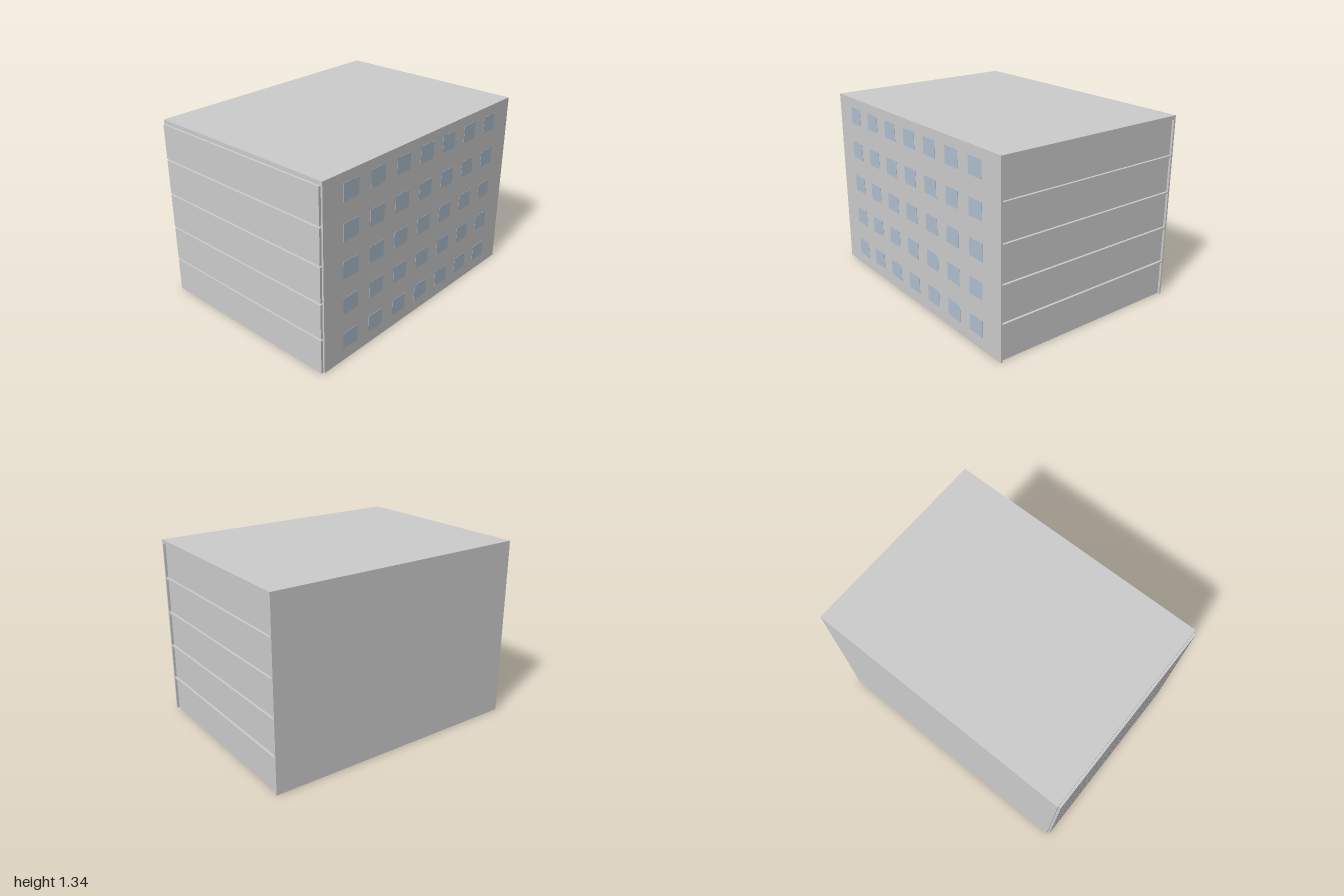
import * as THREE from 'three';

export function createModel() {
  const concrete = new THREE.MeshStandardMaterial({ color: 0xcccccc });
  concrete.name = 'concrete';
  const glass = new THREE.MeshStandardMaterial({ color: 0xb0c0d0 });
  glass.name = 'glass';

  const building = new THREE.Group();
  building.name = 'building';

  // Box given by its limits on each axis
  function block(name, [x0, x1], [y0, y1], [z0, z1], material = concrete) {
    const mesh = new THREE.Mesh(new THREE.BoxGeometry(x1 - x0, y1 - y0, z1 - z0), material);
    mesh.position.set((x0 + x1) / 2, (y0 + y1) / 2, (z0 + z1) / 2);
    mesh.name = name;
    building.add(mesh);
  }

  const storeys = 5, pitch = 0.265, slab = 0.013;
  const bodyX = [-0.983, 1], depth = 0.742, wall = 0.013;
  const inner = depth - wall, roofBase = storeys * pitch - slab;

  // Long walls and roof
  block('frontWall', bodyX, [0, roofBase], [inner, depth]);
  block('backWall', bodyX, [0, roofBase], [-depth, -inner]);
  block('roof', bodyX, [roofBase, 1.34], [-depth, depth]);

  const columnGeometry = new THREE.CylinderGeometry(0.027, 0.027, pitch - slab, 8).toNonIndexed();
  columnGeometry.computeVertexNormals();

  for (let s = 0; s < storeys; s++) {
    const y = s * pitch, top = y + pitch - slab;

    // Floor slab over each storey; the roof covers the last one
    if (s < storeys - 1) block('floorSlab', bodyX, [top, top + slab], [-inner, inner]);

    // End panels: proud of the slabs on one end, recessed on the other
    block('rightEndPanel', [-1, -0.983], [y, top], [-inner, inner]);
    block('leftEndPanel', [0.967, 0.983], [y, top], [-inner, inner]);

    // Two rows of three columns
    for (const x of [-0.5, 0, 0.5]) {
      for (const z of [-0.245, 0.245]) {
        const column = new THREE.Mesh(columnGeometry, concrete);
        column.position.set(x, (y + top) / 2, z);
        column.name = 'column';
        building.add(column);
      }
    }

    // Front windows
    for (let i = -3; i <= 3; i++) {
      const x = 0.005 + i * 0.248;
      block('window', [x - 0.068, x + 0.068], [y + 0.089, y + 0.211], [depth - 0.003, depth + 0.002], glass);
    }
  }
  return building;
}
